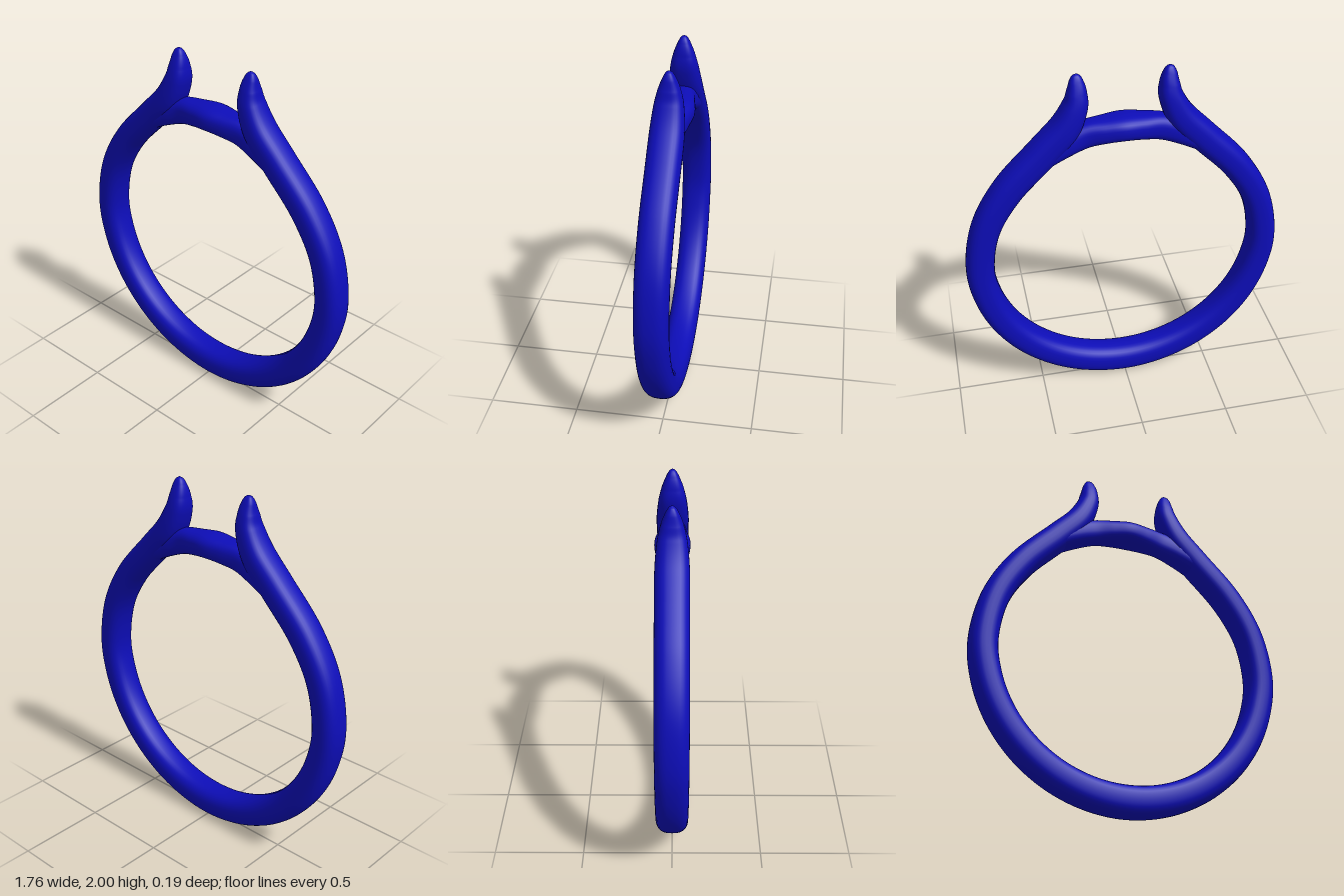
import * as THREE from 'three';

const SIDES = 32;

// Sweeps a rounded section along a path in the xy plane.
// Knots are [x, y, half thickness in plane, half depth in z].
function sweep(knots, steps) {
  const path = new THREE.CatmullRomCurve3(knots.map(k => new THREE.Vector3(k[0], k[1], 0)), false, 'catmullrom', 0.5);
  const size = new THREE.CatmullRomCurve3(knots.map(k => new THREE.Vector3(k[2], k[3], 0)), false, 'catmullrom', 0.5);
  const round = v => Math.sign(v) * Math.abs(v) ** 0.78;
  const pos = [], index = [];
  for (let i = 0; i <= steps; i++) {
    const c = path.getPoint(i / steps), t = path.getTangent(i / steps), s = size.getPoint(i / steps);
    for (let j = 0; j < SIDES; j++) {
      const a = (j / SIDES) * Math.PI * 2;
      const u = round(Math.cos(a)) * s.x, w = round(Math.sin(a)) * s.y;
      pos.push(c.x - t.y * u, c.y + t.x * u, w);
      if (i < steps) {
        const p = i * SIDES + j, q = i * SIDES + (j + 1) % SIDES;
        index.push(p, p + SIDES, q, q, p + SIDES, q + SIDES);
      }
    }
  }
  // End caps
  for (const [row, flip] of [[0, false], [steps, true]]) {
    const c = path.getPoint(row / steps), centre = pos.length / 3;
    pos.push(c.x, c.y, 0);
    for (let j = 0; j < SIDES; j++) {
      const p = row * SIDES + j, q = row * SIDES + (j + 1) % SIDES;
      index.push(centre, ...(flip ? [q, p] : [p, q]));
    }
  }
  // Consistent outward winding
  for (let i = 0; i < index.length; i += 3) [index[i + 1], index[i + 2]] = [index[i + 1], index[i + 2]];
  const g = new THREE.BufferGeometry();
  g.setAttribute('position', new THREE.Float32BufferAttribute(pos, 3));
  g.setIndex(orient(pos, index));
  g.computeVertexNormals();
  return g;
}

// Flips all triangles if the enclosed volume is negative.
function orient(pos, index) {
  const v = i => new THREE.Vector3().fromArray(pos, i * 3);
  let volume = 0;
  for (let i = 0; i < index.length; i += 3) volume += v(index[i]).dot(v(index[i + 1]).cross(v(index[i + 2])));
  if (volume < 0) for (let i = 0; i < index.length; i += 3) [index[i], index[i + 1]] = [index[i + 1], index[i]];
  return index;
}

// Extends a half profile, starting on the centre line, to both sides.
const mirror = half => [...half.slice(1).reverse().map(k => [-k[0], ...k.slice(1)]), ...half];

export function createModel() {
  const group = new THREE.Group();
  group.name = 'ring';
  const material = new THREE.MeshStandardMaterial({ color: 0x0d0db8 });

  // Lower half of the band, from the bottom round to the side
  const half = [];
  for (let i = 0; i <= 6; i++) {
    const a = -Math.PI / 2 + (i / 6) * Math.PI / 2, k = i / 6;
    const r = 0.8065 - 0.004 * k;
    half.push([r * Math.cos(a), 0.893 + r * Math.sin(a), 0.0865 - 0.0085 * k, 0.088]);
  }
  // Shoulder sweeping up into a pointed prong
  half.push(
    [0.752, 1.145, 0.077, 0.088],
    [0.622, 1.367, 0.079, 0.088],
    [0.43, 1.57, 0.08, 0.088],
    [0.31, 1.7, 0.077, 0.087],
    [0.25, 1.82, 0.064, 0.075],
    [0.238, 1.9, 0.051, 0.057],
    [0.239, 1.96, 0.036, 0.034],
    [0.241, 1.99, 0.02, 0.017],
    [0.242, 2.0, 0.003, 0.003],
  );
  const band = new THREE.Mesh(sweep(mirror(half), 300), material);
  band.name = 'bandWithProngs';

  // Curved bridge closing the circle between the prongs
  const bridge = new THREE.Mesh(sweep(mirror([
    [0, 1.68, 0.067, 0.094],
    [0.1, 1.672, 0.067, 0.082],
    [0.2, 1.657, 0.07, 0.067],
    [0.3, 1.622, 0.07, 0.074],
    [0.42, 1.56, 0.066, 0.08],
    [0.52, 1.475, 0.055, 0.07],
  ]), 80), material);
  bridge.name = 'bridge';

  group.add(band, bridge);
  return group;
}
